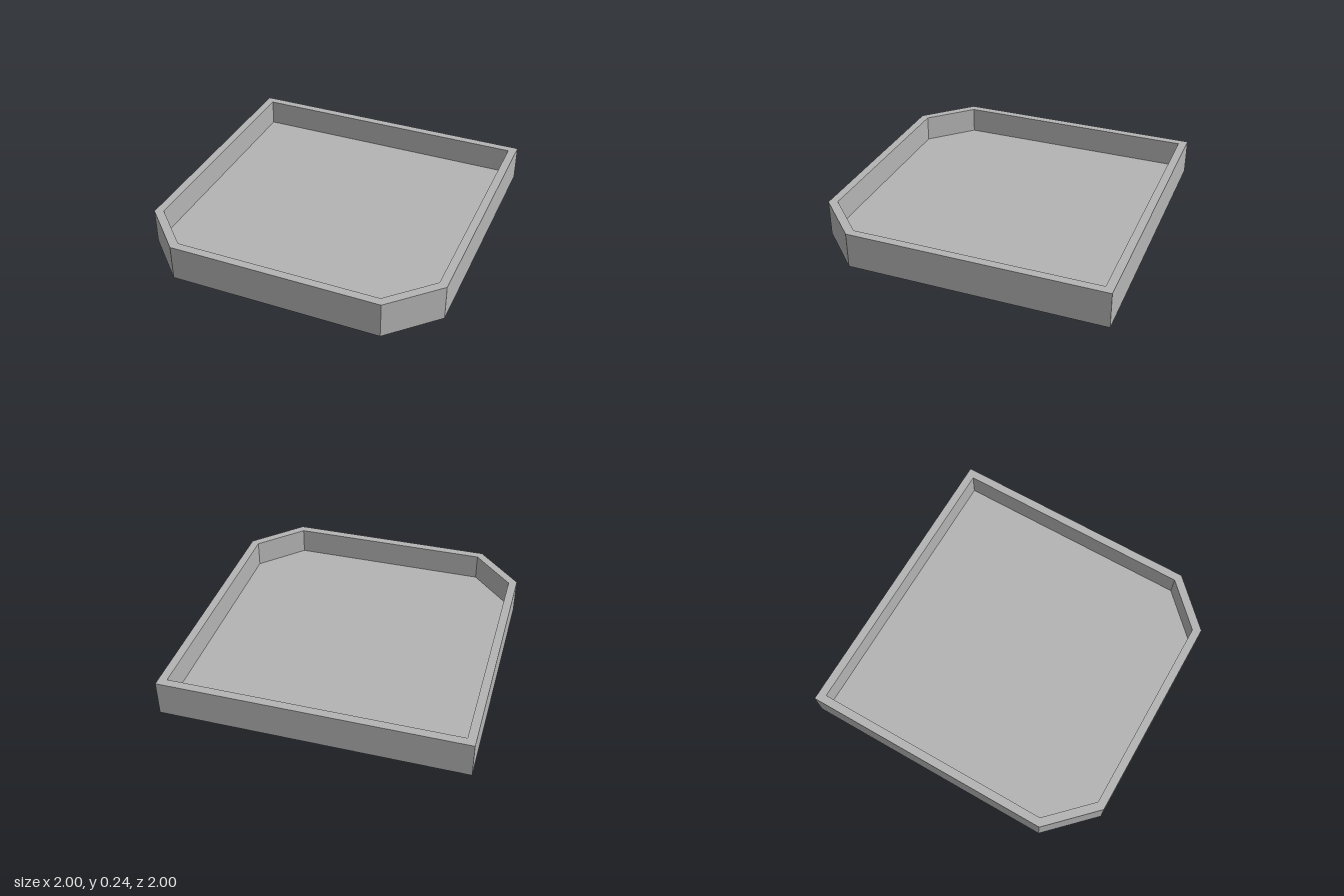
import * as THREE from 'three';

const HEIGHT = 0.24, FLOOR = 0.06;

// Square outline with its two front corners cut off, counter-clockwise seen from above
function outline(half, cut, y) {
  return [[-cut, half], [cut, half], [half, cut], [half, -half], [-half, -half], [-half, cut]]
    .map(([x, z]) => new THREE.Vector3(x, y, z));
}

function flatGeometry(triangles) {
  const geometry = new THREE.BufferGeometry().setFromPoints(triangles);
  geometry.computeVertexNormals();
  return geometry;
}

// Flat-sided band joining successive outlines
function band(loops) {
  const tris = [];
  for (let k = 0; k < loops.length - 1; k++) {
    const a = loops[k], b = loops[k + 1];
    a.forEach((p, i) => {
      const j = (i + 1) % a.length;
      tris.push(p, a[j], b[j], p, b[j], b[i]);
    });
  }
  return flatGeometry(tris);
}

// Filled outline facing up or down
function cap(loop, up) {
  const tris = [];
  for (let i = 1; i < loop.length - 1; i++) {
    tris.push(loop[0], ...(up ? [loop[i], loop[i + 1]] : [loop[i + 1], loop[i]]));
  }
  return flatGeometry(tris);
}

export function createModel() {
  const group = new THREE.Group();
  group.name = 'tray';
  const grey = new THREE.MeshStandardMaterial({ color: 0xb4b4b4 });
  grey.name = 'grey';

  const base = outline(1, 0.7, 0);
  const rimOuter = outline(1, 0.7, HEIGHT);
  const rimInner = outline(0.945, 0.675, HEIGHT);
  const floor = outline(0.945, 0.675, FLOOR);

  const add = (name, geometry) => {
    const mesh = new THREE.Mesh(geometry, grey);
    mesh.name = name;
    group.add(mesh);
  };
  add('rimWall', band([base, rimOuter, rimInner, floor]));
  add('trayFloor', cap(floor, true));
  add('underside', cap(base, false));
  return group;
}
